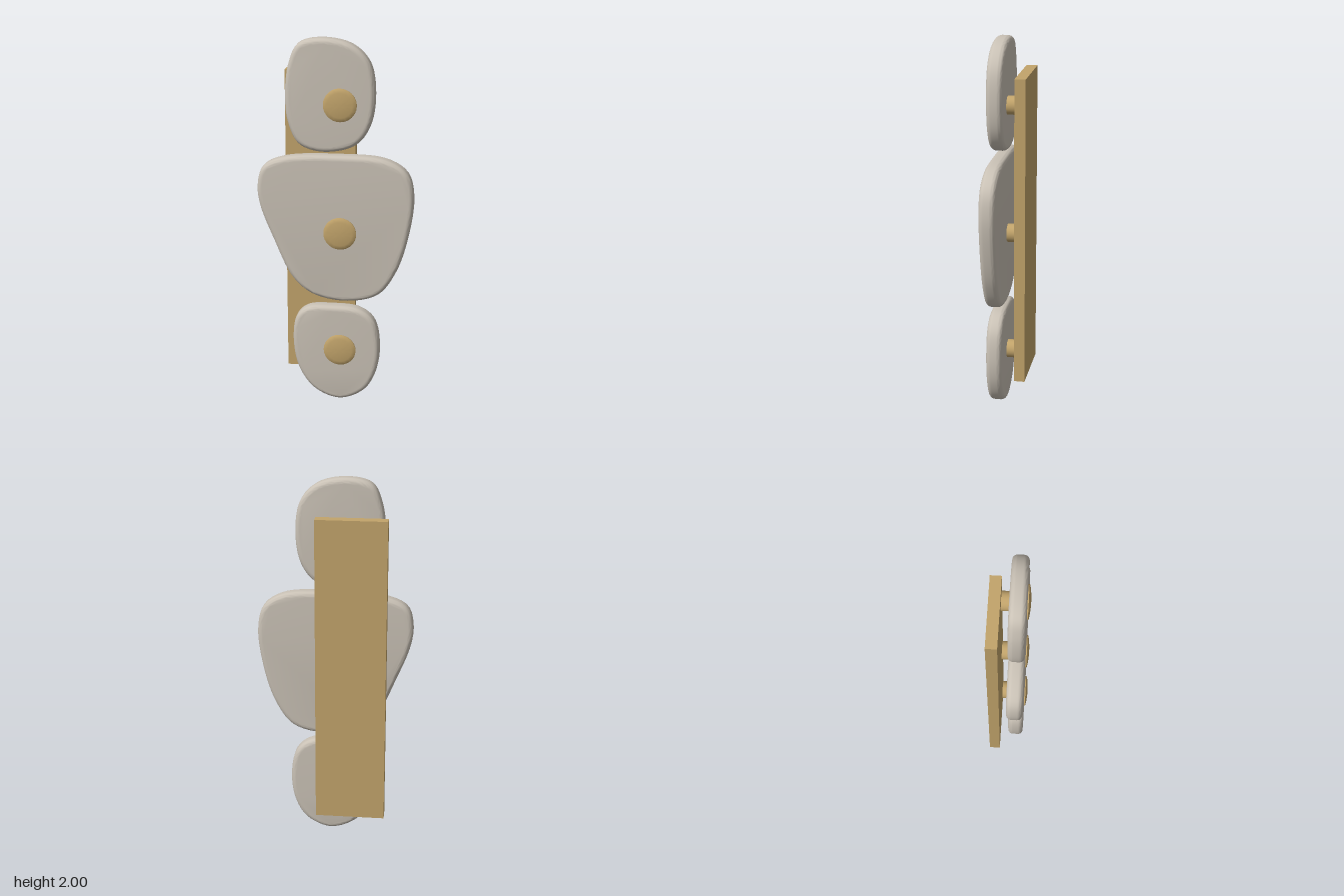
import * as THREE from 'three';
import { toCreasedNormals } from 'three/addons/utils/BufferGeometryUtils.js';

const THICK = 0.083;
const BEVEL = 0.026;

// Pebble slab: smooth closed outline, extruded with rounded rims
function pebbleGeometry(outline) {
  const curve = new THREE.CatmullRomCurve3(
    outline.map(([x, y]) => new THREE.Vector3(x, y, 0)), true, 'centripetal');
  const pts = curve.getSpacedPoints(96).slice(0, -1).map(p => new THREE.Vector2(p.x, p.y));
  const geo = new THREE.ExtrudeGeometry(new THREE.Shape(pts.reverse()), {
    depth: THICK - 2 * BEVEL, steps: 1,
    bevelEnabled: true, bevelThickness: BEVEL, bevelSize: BEVEL,
    bevelOffset: -BEVEL, bevelSegments: 6
  });
  geo.translate(0, 0, BEVEL);
  return toCreasedNormals(geo, 0.6);
}

export function createModel() {
  const group = new THREE.Group();
  const stone = new THREE.MeshStandardMaterial({ name: 'warm grey stone', color: 0xc9c1b5 });
  const brass = new THREE.MeshStandardMaterial({ name: 'brass', color: 0xc2a46b });

  const add = (name, geo, mat, x = 0, y = 0, z = 0) => {
    const mesh = new THREE.Mesh(geo, mat);
    mesh.name = name;
    mesh.position.set(x, y, z);
    group.add(mesh);
    return mesh;
  };

  // Wall plate
  add('backPlate', new THREE.BoxGeometry(0.373, 1.674, 0.058), brass, -0.0935, 0.974, -0.074);

  // Outlines, clockwise from the top, and the height of each fixing
  const pebbles = [
    { name: 'upper', y: 1.662, outline: [
      [-0.07, 2.0], [0.085, 1.97], [0.177, 1.88], [0.206, 1.71], [0.177, 1.54], [0.1, 1.445],
      [-0.07, 1.408], [-0.19, 1.447], [-0.246, 1.56], [-0.26, 1.71], [-0.24, 1.87], [-0.19, 1.97]] },
    { name: 'middle', y: 0.97, outline: [
      [0.01, 1.39], [0.27, 1.373], [0.378, 1.304], [0.411, 1.183], [0.389, 0.97], [0.325, 0.76],
      [0.23, 0.627], [0.06, 0.582], [-0.125, 0.616], [-0.23, 0.706], [-0.33, 0.918],
      [-0.4, 1.103], [-0.413, 1.21], [-0.384, 1.315], [-0.283, 1.368]] },
    { name: 'lower', y: 0.302, outline: [
      [-0.02, 0.55], [0.13, 0.537], [0.209, 0.474], [0.241, 0.325], [0.22, 0.167], [0.156, 0.06],
      [0.024, 0.003], [-0.114, 0.055], [-0.2, 0.177], [-0.23, 0.352], [-0.209, 0.484], [-0.15, 0.537]] }
  ];

  // Domed cap with a short rim
  const capProfile = [[0.087, 0], [0.087, 0.006], [0.083, 0.009], [0.065, 0.0125],
    [0.04, 0.0155], [0.02, 0.0168], [0, 0.0172]].map(([r, h]) => new THREE.Vector2(r, h));
  const capGeo = toCreasedNormals(new THREE.LatheGeometry(capProfile, 48).rotateX(Math.PI / 2), 0.6);
  const stemGeo = new THREE.CylinderGeometry(0.049, 0.049, 0.06, 40).rotateX(Math.PI / 2);

  for (const { name, y, outline } of pebbles) {
    add(name + 'Pebble', pebbleGeometry(outline), stone);
    add(name + 'Stem', stemGeo, brass, 0.027, y, -0.022);
    add(name + 'Cap', capGeo, brass, 0.027, y, THICK - 0.0005);
  }
  return group;
}
